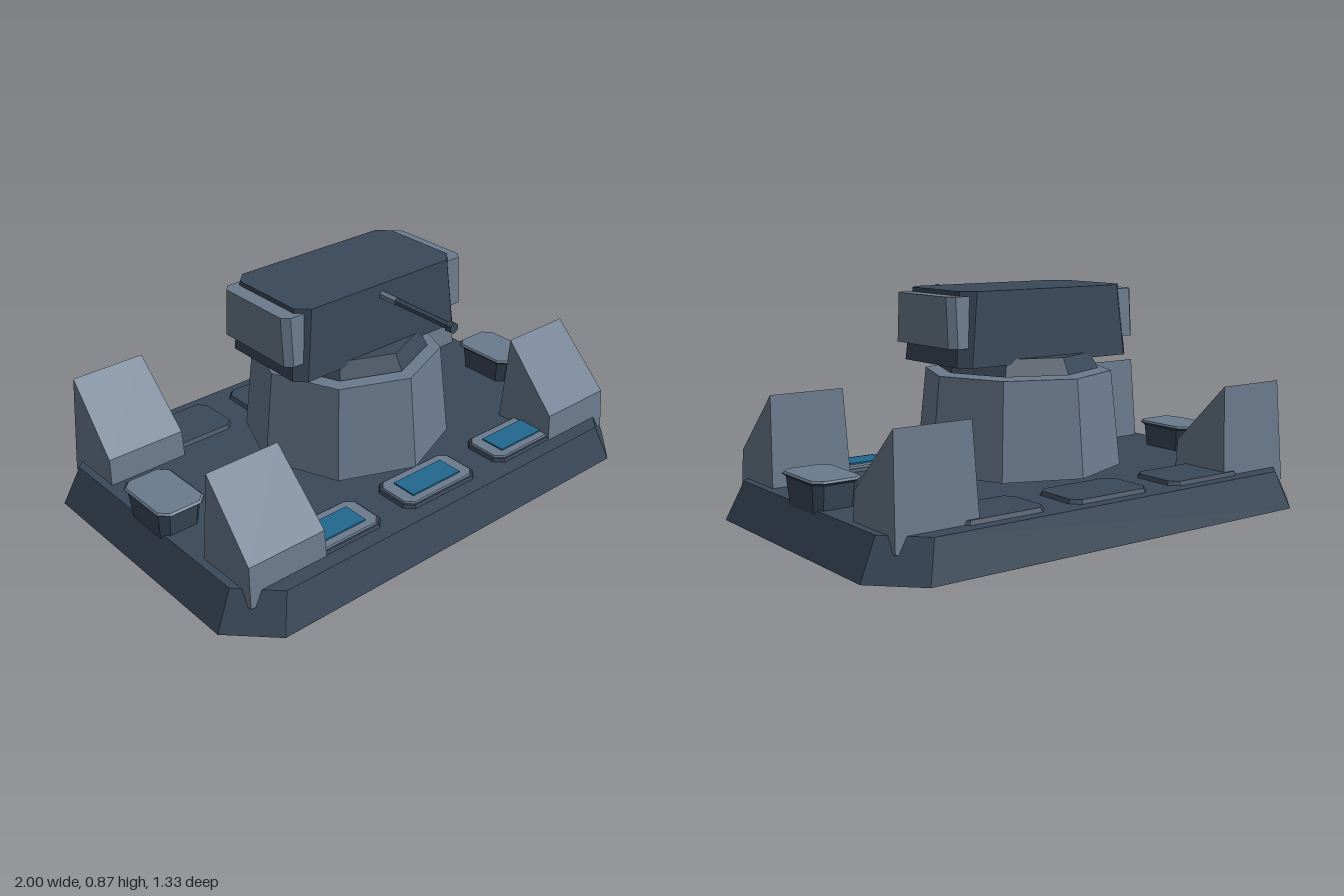
import * as THREE from 'three';

const mat = (name, color) => new THREE.MeshStandardMaterial({ name, color, flatShading: true, side: THREE.DoubleSide });

// Chamfered rectangle ring at height y, running from +x towards +z
function ring(hx, hz, cut, y, cutZ = cut) {
  return [
    [hx, y, -hz + cutZ], [hx, y, hz - cutZ], [hx - cut, y, hz], [-hx + cut, y, hz],
    [-hx, y, hz - cutZ], [-hx, y, -hz + cutZ], [-hx + cut, y, -hz], [hx - cut, y, -hz],
  ];
}

// Flat-faced skin through rings of equal point count, with optional caps
function loft(rings, capBottom = true, capTop = true) {
  const pos = [];
  const tri = (...pts) => pts.forEach((p) => pos.push(...p));
  const n = rings[0].length;
  for (let r = 0; r < rings.length - 1; r++) {
    for (let i = 0; i < n; i++) {
      const j = (i + 1) % n;
      const [a, b, c, d] = [rings[r][i], rings[r + 1][i], rings[r + 1][j], rings[r][j]];
      tri(a, b, c);
      tri(a, c, d);
    }
  }
  const top = rings[rings.length - 1];
  for (let i = 1; i < n - 1; i++) {
    if (capTop) tri(top[0], top[i + 1], top[i]);
    if (capBottom) tri(rings[0][0], rings[0][i], rings[0][i + 1]);
  }
  const g = new THREE.BufferGeometry();
  g.setAttribute('position', new THREE.Float32BufferAttribute(pos, 3));
  g.computeVertexNormals();
  return g;
}

export function createModel() {
  const model = new THREE.Group();
  model.name = 'gunTurret';
  const dark = mat('darkSteel', 0x3a4859);
  const light = mat('lightSteel', 0x6b7b8e);
  const blue = mat('blueGlass', 0x21688f);

  const add = (name, geometry, material, x = 0, y = 0, z = 0) => {
    const m = new THREE.Mesh(geometry, material);
    m.name = name;
    m.position.set(x, y, z);
    model.add(m);
    return m;
  };

  // Hollow base platform, open underneath
  add('basePlatform', loft([ring(1, 0.665, 0.16, 0), ring(0.93, 0.62, 0.135, 0.145)], false, true), dark);

  // Corner buttresses, all sloping to the front, open at the bottom
  const buttress = loft([
    [[0.165, 0.09, -0.135], [0.165, 0.09, 0.135], [-0.165, 0.09, 0.135], [-0.165, 0.09, -0.135]],
    [[0.155, 0.49, -0.115], [0.16, 0.25, 0.125], [-0.16, 0.25, 0.125], [-0.145, 0.49, -0.115]],
  ], false, true);
  for (const side of [-1, 1]) {
    for (const z of [0.43, -0.425]) add('cornerButtress', buttress, light, side * 0.738, 0, z);
  }

  // Deck panels: plain hatches behind, framed windows in front
  const hatch = loft([ring(0.185, 0.118, 0.035, 0.14), ring(0.175, 0.108, 0.03, 0.16)]);
  const rim = loft([ring(0.185, 0.1, 0.035, 0.14), ring(0.178, 0.094, 0.03, 0.158)]);
  const frame = loft([ring(0.172, 0.088, 0.028, 0.157), ring(0.168, 0.085, 0.026, 0.165)]);
  for (const x of [-0.475, 0, 0.475]) {
    add('rearHatch', hatch, dark, x, 0, -0.457);
    add('windowRim', rim, dark, x, 0, 0.46);
    add('windowFrame', frame, light, x, 0, 0.46);
    add('windowGlass', new THREE.BoxGeometry(0.24, 0.006, 0.105), blue, x, 0.168, 0.462);
  }

  // Side vents with an overhanging lid
  const vent = loft([ring(0.08, 0.112, 0.025, 0.13), ring(0.089, 0.128, 0.03, 0.24)]);
  const lidEdge = loft([ring(0.089, 0.128, 0.03, 0.235), ring(0.1, 0.143, 0.035, 0.245)]);
  const lid = loft([ring(0.098, 0.141, 0.035, 0.245), ring(0.092, 0.134, 0.032, 0.252)]);
  for (const side of [-1, 1]) {
    add('sideVent', vent, dark, side * 0.858, 0, 0);
    add('ventLidEdge', lidEdge, dark, side * 0.858, 0, 0);
    add('ventLid', lid, light, side * 0.858, 0, 0);
  }

  // Eight-sided pedestal and swivel collar
  add('pedestal', new THREE.CylinderGeometry(0.362, 0.4, 0.365, 8), light, 0, 0.3675, 0);
  add('swivelCollar', new THREE.CylinderGeometry(0.28, 0.312, 0.062, 8), dark, 0, 0.589, 0);

  // Turret head with armoured cheeks
  add('turretHead', loft([ring(0.4, 0.212, 0.04, 0.6), ring(0.375, 0.2, 0.045, 0.872)]), dark);
  const cheek = loft([ring(0.055, 0.195, 0.025, 0.67), ring(0.055, 0.182, 0.025, 0.855)]);
  for (const side of [-1, 1]) add('armourCheek', cheek, light, side * 0.38, 0, 0);

  // Gun: sleeve, barrel and muzzle along z
  const tube = (name, radius, z0, z1, material) => {
    const g = new THREE.CylinderGeometry(radius, radius, z1 - z0, 6).rotateX(Math.PI / 2);
    add(name, g, material, 0, 0.828, (z0 + z1) / 2);
  };
  tube('gunSleeve', 0.016, 0.18, 0.28, light);
  tube('gunBarrel', 0.014, 0.27, 0.55, dark);
  tube('gunMuzzle', 0.021, 0.54, 0.565, dark);

  return model;
}
